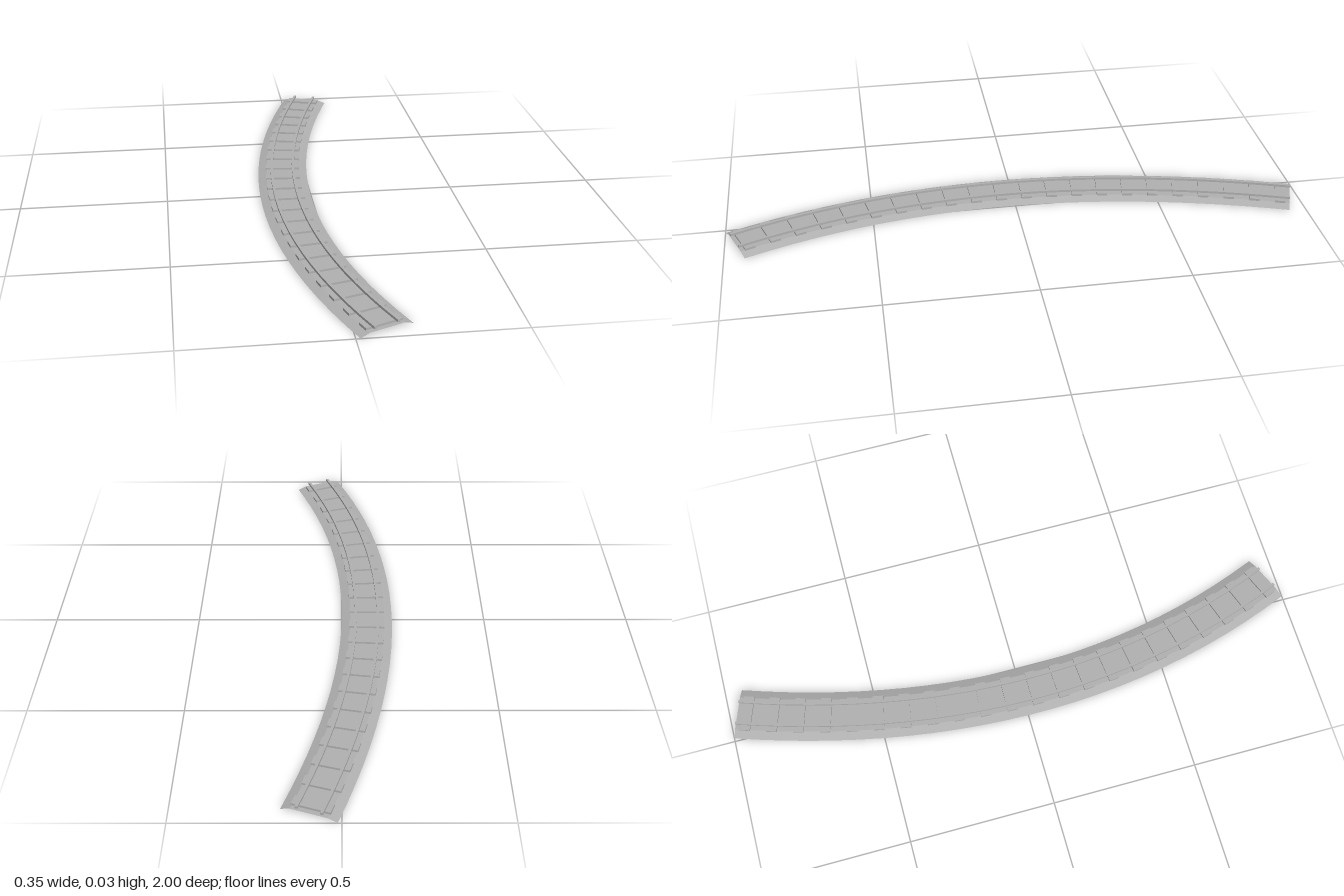
import * as THREE from 'three';

// Track centre line, running from the back end to the front end
const path = new THREE.QuadraticBezierCurve3(
  new THREE.Vector3(0.095, 0, -0.971),
  new THREE.Vector3(-0.273, 0, 0.075),
  new THREE.Vector3(0.095, 0, 0.966)
);
const SEGMENTS = 24;
const SLEEPERS = 22;

// Sweep a [sideways, height] section along the centre line
function sweep(section, closed) {
  const n = section.length, pos = [], index = [];
  for (let i = 0; i <= SEGMENTS; i++) {
    const p = path.getPointAt(i / SEGMENTS), t = path.getTangentAt(i / SEGMENTS);
    for (const [s, y] of section) pos.push(p.x + t.z * s, y, p.z - t.x * s);
  }
  for (let i = 0; i < SEGMENTS; i++) {
    for (let j = 0; j < (closed ? n : n - 1); j++) {
      const a = i * n + j, b = i * n + (j + 1) % n;
      index.push(a, a + n, b, b, a + n, b + n);
    }
  }
  if (closed) {
    const e = SEGMENTS * n;
    for (let j = 1; j < n - 1; j++) index.push(0, j, j + 1, e, e + j + 1, e + j);
  }
  const g = new THREE.BufferGeometry();
  g.setAttribute('position', new THREE.Float32BufferAttribute(pos, 3));
  g.setIndex(index);
  const flat = g.toNonIndexed();
  flat.computeVertexNormals();
  return flat;
}

export function createModel() {
  const group = new THREE.Group();
  group.name = 'curvedTrack';
  const grey = new THREE.MeshStandardMaterial({ color: 0xb0b0b0, side: THREE.DoubleSide });
  grey.name = 'grey';

  const add = (name, geometry, parent = group) => {
    const mesh = new THREE.Mesh(geometry, grey);
    mesh.name = name;
    parent.add(mesh);
    return mesh;
  };

  // Ballast bed: an open shell with sloped shoulders
  add('ballast', sweep([[-0.088, 0], [-0.058, 0.01], [0.058, 0.01], [0.088, 0]], false));

  // Two rails resting on the sleepers
  for (const [name, c] of [['rightRail', -0.039], ['leftRail', 0.039]]) {
    const w = 0.0045;
    add(name, sweep([[c - w, 0.017], [c - w, 0.025], [c + w, 0.025], [c + w, 0.017]], true));
  }

  // Sleepers spaced evenly, square to the centre line
  const sleepers = new THREE.Group();
  sleepers.name = 'sleepers';
  group.add(sleepers);
  const box = new THREE.BoxGeometry(0.122, 0.009, 0.036);
  for (let i = 0; i < SLEEPERS; i++) {
    const u = 0.017 + 0.966 * i / (SLEEPERS - 1);
    const p = path.getPointAt(u), t = path.getTangentAt(u);
    const sleeper = add('sleeper', box, sleepers);
    sleeper.position.set(p.x, 0.0125, p.z);
    sleeper.rotation.y = Math.atan2(t.x, t.z);
  }
  return group;
}
